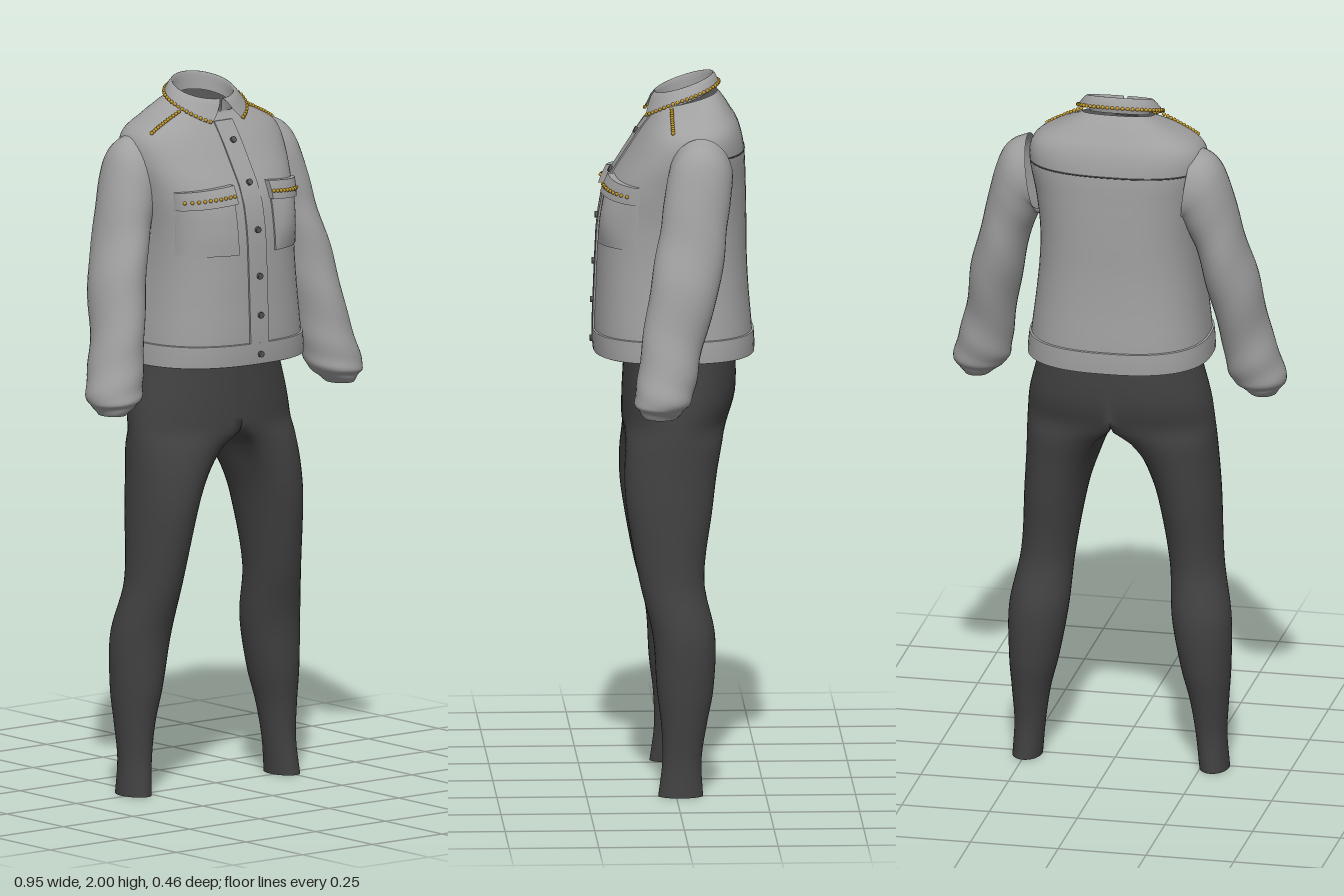
import * as THREE from 'three';
import { mergeGeometries, toCreasedNormals } from 'three/addons/utils/BufferGeometryUtils.js';

const CX = -0.02; // garment centre line
const mat = (name, color) => {
  const m = new THREE.MeshStandardMaterial({ color, side: THREE.DoubleSide });
  m.name = name;
  return m;
};
const V = (x, y, z) => new THREE.Vector3(x, y, z);
const clamp = THREE.MathUtils.clamp;
const range = (n, a, b) => Array.from({ length: n + 1 }, (_, i) => a + (b - a) * i / n);

// Smooth interpolation of table rows, keyed by their first column
function at(table, k) {
  const last = table.length - 1;
  let i = 0;
  while (i < last - 1 && k > table[i + 1][0]) i++;
  const a = table[i], b = table[i + 1], h = b[0] - a[0], t = clamp((k - a[0]) / h, 0, 1);
  const p = table[Math.max(i - 1, 0)], q = table[Math.min(i + 2, last)];
  return a.map((v, c) => {
    const m0 = (b[c] - p[c]) / (b[0] - p[0]) * h, m1 = (q[c] - v) / (q[0] - a[0]) * h;
    const t2 = t * t, t3 = t2 * t;
    return (2 * t3 - 3 * t2 + 1) * v + (t3 - 2 * t2 + t) * m0 + (3 * t2 - 2 * t3) * b[c] + (t3 - t2) * m1;
  });
}

// Skin over a list of rings of points
function loft(rings, closed = true, flip = false) {
  const n = rings[0].length, idx = [];
  for (let i = 0; i < rings.length - 1; i++)
    for (let j = 0; j < (closed ? n : n - 1); j++) {
      const k = (j + 1) % n, a = i * n + j, b = i * n + k, c = a + n, d = b + n;
      idx.push(...(flip ? [a, b, c, b, d, c] : [a, c, b, b, c, d]));
    }
  const g = new THREE.BufferGeometry();
  g.setAttribute('position', new THREE.Float32BufferAttribute(rings.flat().flatMap(p => [p.x, p.y, p.z]), 3));
  g.setIndex(idx);
  g.computeVertexNormals();
  return g;
}

// y, half width, front z, back z
const TORSO = [
  [1.22, 0.254, 0.215, -0.224], [1.29, 0.248, 0.218, -0.222], [1.4, 0.235, 0.214, -0.213],
  [1.5, 0.226, 0.21, -0.208], [1.6, 0.225, 0.203, -0.207], [1.7, 0.236, 0.18, -0.205],
  [1.8, 0.25, 0.12, -0.2], [1.86, 0.236, 0.08, -0.186], [1.9, 0.175, 0.05, -0.162], [1.93, 0.1, 0.042, -0.126]];
const POW = 2.5;
const spow = v => Math.sign(v) * Math.abs(v) ** (2 / POW);

function torsoPoint(y, t, off = 0) {
  const [, hw, zf, zb] = at(TORSO, y);
  const z = (zf + zb) / 2 + ((zf - zb) / 2 + off) * spow(Math.sin(t));
  const dip = Math.max(0, (y - 1.9) / 0.03) * (z + 0.03) * 0.25;
  return V(CX + (hw + off) * spow(Math.cos(t)), y - dip, z);
}
function frontZ(x, y) {
  const [, hw, zf, zb] = at(TORSO, y), u = Math.min(Math.abs(x - CX) / hw, 0.97);
  return (zf + zb) / 2 + (zf - zb) / 2 * (1 - u ** POW) ** (1 / POW);
}

// Raised cloth panel that follows the jacket front
function panel(x0, x1, y0, y1, off, bulge = 0, slope = 0) {
  const n = 12, grid = range(n, 0, 1), edged = [0, ...grid, 1];
  const rings = edged.map((v, i) => edged.map((u, j) => {
    const border = i === 0 || j === 0 || i === n + 2 || j === n + 2;
    const x = x1 + (x0 - x1) * u;
    const y = y0 + (y1 - y0) * v - slope * Math.abs(x - CX);
    const lift = border ? -0.004 : off + bulge * Math.sin(Math.PI * u) * Math.sin(Math.PI * v);
    return V(x, y, frontZ(x, y) + lift);
  }));
  return toCreasedNormals(loft(rings, false), 0.7);
}

// key, x, y, z, tilt in degrees, half width, half depth
const SLEEVE = [
  [0, 0.222, 1.745, -0.07, 82, 0.116, 0.09], [1, 0.245, 1.733, -0.066, 62, 0.108, 0.092],
  [2, 0.265, 1.7, -0.06, 42, 0.088, 0.093], [3, 0.297, 1.6, -0.045, 18, 0.07, 0.094],
  [4, 0.335, 1.45, -0.02, 15, 0.073, 0.097], [5, 0.362, 1.3, 0.015, 12, 0.07, 0.086],
  [6, 0.383, 1.2, 0.032, 7, 0.077, 0.083], [7, 0.397, 1.145, 0.044, 0, 0.077, 0.079],
  [8, 0.402, 1.122, 0.048, 0, 0.058, 0.062], [9, 0.408, 1.1, 0.05, 0, 0.036, 0.045]];
function sleeve(s) {
  const rings = range(54, 0, 9).map(k => {
    const [, x, y, z, deg, w, d] = at(SLEEVE, k), a = deg * Math.PI / 180;
    return range(31, 0, Math.PI * 2 * 31 / 32).map(t => {
      const fold = 1 + 0.018 * Math.sin(k * 5 + 2 * t) * clamp(k - 2, 0, 1);
      const c = w * fold * Math.cos(t);
      return V(-0.005 + s * (x + c * Math.cos(a)), y + c * Math.sin(a), z + d * fold * Math.sin(t));
    });
  });
  return loft(rings, true, s > 0);
}

// y, inner x, outer x, front z, back z, how much the section is half of the hips
const LEG = [
  [0, 0.225, 0.308, 0.05, -0.075, 0], [0.1, 0.215, 0.302, 0.038, -0.071, 0], [0.2, 0.2, 0.308, 0.041, -0.086, 0],
  [0.3, 0.175, 0.315, 0.053, -0.105, 0], [0.45, 0.148, 0.315, 0.064, -0.11, 0], [0.6, 0.136, 0.288, 0.1, -0.081, 0],
  [0.8, 0.1, 0.278, 0.135, -0.105, 0], [0.9, 0.067, 0.272, 0.141, -0.12, 0.1], [0.98, 0.033, 0.268, 0.141, -0.142, 0.5],
  [1.03, 0, 0.265, 0.141, -0.155, 1], [1.1, 0, 0.257, 0.14, -0.175, 1], [1.2, 0, 0.232, 0.135, -0.177, 1],
  [1.3, 0, 0.21, 0.13, -0.165, 1]];
function leg(s) {
  const rings = range(65, 0, 1.3).map(y => {
    const [, i, outer, zf, zb, dd] = at(LEG, y), inner = Math.max(i, 0), d = clamp(dd, 0, 1);
    const w = outer - inner, zc = (zf + zb) / 2, rz = (zf - zb) / 2;
    return range(39, -Math.PI, Math.PI * 38 / 40).map(t => {
      const q = Math.abs(t) / (Math.PI * 0.75), f = t / 1.5;
      const hx = q <= 1 ? Math.max(0, Math.cos(f)) : 0;
      const hz = q <= 1 ? Math.sin(f) : Math.sign(t) * (1 - (q - 1) * 3);
      const x = inner + w * ((1 - d) * (0.5 + 0.5 * Math.cos(t)) + d * hx);
      return V(CX + s * x, y, zc + rz * ((1 - d) * Math.sin(t) + d * hz));
    });
  });
  const g = loft(rings, true, s < 0), p = g.attributes.position, nrm = g.attributes.normal;
  // Even shading where the two halves of the hips meet
  for (let i = 0; i < p.count; i++)
    if (p.getY(i) > 1.04 && Math.abs(p.getX(i) - CX) < 1e-3) nrm.setXYZ(i, 0, 0, p.getZ(i) > -0.02 ? 1 : -1);
  return g;
}

// Folded collar: half width, front z, back z, drop, front gap
const COLLAR = [
  [0, 0.084, 0.042, -0.105, 0.045, 0.05], [1, 0.088, 0.046, -0.112, 0, 0.06],
  [2, 0.101, 0.06, -0.121, 0.006, 0.14], [3, 0.122, 0.09, -0.132, 0.032, 0.5]];
function collarPoint(k, v) {
  const [, hw, zf, zb, drop, gap] = at(COLLAR, k);
  const t = Math.PI / 2 + gap + (Math.PI * 2 - gap * 2) * v, sn = Math.sin(t);
  const z = (zf + zb) / 2 + (zf - zb) / 2 * sn;
  const point = k > 2 ? (k - 2) * 0.026 * Math.max(0, sn) ** 2 : 0;
  return V(CX + hw * Math.cos(t), 1.963 - 0.33 * z - drop - point, z);
}

export function createModel() {
  const group = new THREE.Group();
  const cloth = mat('greyCloth', 0xa0a0a0), dark = mat('charcoalKnit', 0x414141);
  const gold = mat('goldStud', 0xc49a2a), thread = mat('darkThread', 0x555555);
  const add = (name, geo, m) => {
    const mesh = new THREE.Mesh(geo, m);
    mesh.name = name;
    group.add(mesh);
    return mesh;
  };
  const angles = range(63, 0, Math.PI * 2 * 63 / 64);

  // Jacket body and hem band
  add('jacketBody', loft(range(60, 1.22, 1.93).map(y => angles.map(t => torsoPoint(y, t)))), cloth);
  const band = [[1.222, -0.008], [1.222, 0.005], [1.25, 0.006], [1.282, 0.005], [1.284, -0.002]];
  add('hemBand', toCreasedNormals(loft(band.map(([y, o]) => angles.map(t => torsoPoint(y, t, o)))), 0.7), cloth);

  // Collar
  const collarRows = range(15, 0, 3).map(k => range(60, 0, 1).map(v => collarPoint(k, v)));
  add('collar', loft(collarRows, false, true), cloth);

  // Front placket with buttons
  add('placket', panel(CX - 0.035, CX + 0.03, 1.23, 1.89, 0.005), cloth);
  for (const y of [1.84, 1.73, 1.6, 1.47, 1.36, 1.25]) {
    const b = add('button', new THREE.CylinderGeometry(0.009, 0.009, 0.008, 14), thread);
    b.position.set(CX, y, frontZ(CX, y) + 0.008);
    b.rotation.x = Math.PI / 2 - (y > 1.65 ? 0.5 : 0);
  }

  // Sleeves, legs, pockets and the studs on each side
  const studs = [];
  for (const s of [1, -1]) {
    const side = s > 0 ? 'left' : 'right';
    add(side + 'Sleeve', sleeve(s), cloth);
    add(side + 'Legging', leg(s), dark);
    const xs = [CX + s * 0.065, CX + s * 0.208].sort((a, b) => a - b);
    add(side + 'Pocket', panel(...xs, 1.535, 1.69, 0.005, s > 0 ? 0.012 : 0.002), cloth);
    add(side + 'PocketFlap', panel(xs[0] - 0.003, xs[1] + 0.003, 1.685, 1.735, 0.018, 0, 0.1), cloth);
    for (const d of range(9, 0.07, 0.2)) {
      const x = CX + s * d, y = 1.707 - 0.1 * d;
      studs.push(V(x, y, frontZ(x, y) + 0.019));
    }
    for (const y of range(11, 1.868, 1.918)) {
      const [, hw, zf, zb] = at(TORSO, y), zc = (zf + zb) / 2;
      const u = (1 - Math.abs((0.004 - zc) / ((zf - zb) / 2)) ** POW) ** (1 / POW);
      studs.push(V(CX + s * hw * u, y + 0.001, 0.006));
    }
  }
  for (const v of range(44, 0.01, 0.99)) studs.push(collarPoint(2.88, v));
  add('studs', mergeGeometries(studs.map(p =>
    new THREE.SphereGeometry(0.0055, 8, 6).translate(p.x, p.y, p.z))), gold);

  // Stitched seam across the back yoke
  const seam = new THREE.CatmullRomCurve3(range(24, Math.PI * 1.12, Math.PI * 1.88).map(t => torsoPoint(1.795, t)));
  add('yokeSeam', new THREE.TubeGeometry(seam, 60, 0.002, 5), thread);
  return group;
}
